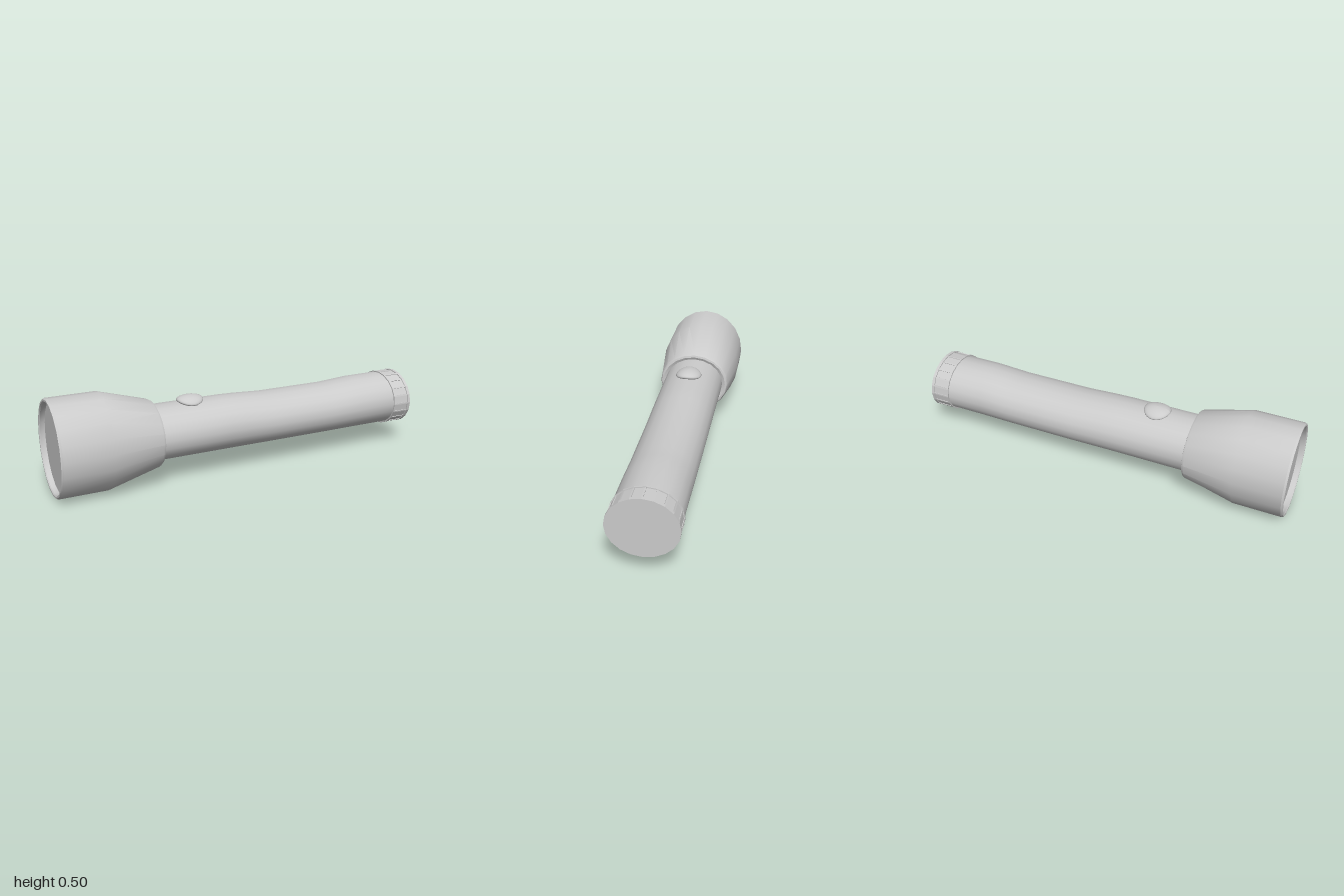
import * as THREE from 'three';
import { toCreasedNormals } from 'three/addons/utils/BufferGeometryUtils.js';

const SIDES = 20;
const AXIS_Y = 0.253;

// Skin a row of elliptical sections along x; each is [x, ry, rz, centreY].
function loft(sections, crease = 0.45) {
  const pos = [];
  const point = ([x, ry, rz, cy = AXIS_Y], j) => {
    const t = (j / SIDES) * Math.PI * 2;
    return [x, cy + ry * Math.cos(t), rz * Math.sin(t)];
  };
  for (let i = 0; i < sections.length - 1; i++) {
    const s = sections[i], e = sections[i + 1];
    for (let j = 0; j < SIDES; j++) {
      const a = point(s, j), b = point(s, j + 1), c = point(e, j), d = point(e, j + 1);
      if (s[1] > 0) pos.push(...a, ...b, ...c);
      if (e[1] > 0) pos.push(...b, ...d, ...c);
    }
  }
  const g = new THREE.BufferGeometry();
  g.setAttribute('position', new THREE.Float32BufferAttribute(pos, 3));
  return toCreasedNormals(g, crease);
}

export function createModel() {
  const model = new THREE.Group();
  model.name = 'flashlight';
  const grey = new THREE.MeshStandardMaterial({ color: 0xcccccc });
  const add = (name, geometry, parent = model) => {
    const mesh = new THREE.Mesh(geometry, grey);
    mesh.name = name;
    parent.add(mesh);
    return mesh;
  };

  // Lamp head: raised rim, straight barrel, taper and rounded rear lip
  add('head', loft([
    [-0.97, 0.231, 0.205], [-0.995, 0.231, 0.205], [-1, 0.236, 0.209],
    [-1, 0.245, 0.218], [-0.99, 0.25, 0.223], [-0.74, 0.25, 0.223],
    [-0.485, 0.174, 0.195], [-0.475, 0.168, 0.19], [-0.472, 0.157, 0.18],
    [-0.48, 0.14, 0.16],
  ]));

  // Flat lens set back inside the rim
  add('lens', loft([[-0.97, 0, 0], [-0.97, 0.231, 0.205]]));

  // Handle with a shallow thumb hollow along its top
  const BOTTOM = 0.112;
  const tops = [[-0.5, 0.396], [-0.1, 0.396], [0, 0.393], [0.15, 0.384],
    [0.52, 0.384], [0.6, 0.389], [0.7, 0.396], [0.92, 0.396]];
  add('handle', loft(tops.map(([x, top]) =>
    [x, (top - BOTTOM) / 2, 0.163, (top + BOTTOM) / 2])));

  // Domed switch, bent to follow the curve of the handle
  const dome = new THREE.SphereGeometry(1, 24, 14);
  dome.scale(0.07, 0.023, 0.07);
  const p = dome.attributes.position;
  for (let i = 0; i < p.count; i++) {
    const drop = 0.143 * (1 - Math.sqrt(1 - (p.getZ(i) / 0.163) ** 2));
    p.setY(i, p.getY(i) - drop);
  }
  dome.computeVertexNormals();
  add('switch', dome).position.set(-0.27, 0.405, 0);

  // Tail cap: faceted grip between two thin flanges, closed by a flat end
  const cap = new THREE.Group();
  cap.name = 'tailCap';
  model.add(cap);
  add('capBody', loft([
    [0.895, 0.138, 0.158], [0.895, 0.149, 0.17], [0.904, 0.149, 0.17],
    [0.904, 0.144, 0.165], [0.984, 0.144, 0.165], [0.984, 0.149, 0.17],
    [1, 0.149, 0.17], [1, 0, 0],
  ], 0.2), cap);

  // Fine grip ribs along the facet edges
  for (let i = 0; i < SIDES; i++) {
    const t = (i / SIDES) * Math.PI * 2;
    const rib = add('gripRib', new THREE.BoxGeometry(0.082, 0.006, 0.008), cap);
    rib.position.set(0.944, AXIS_Y + 0.144 * Math.cos(t), 0.165 * Math.sin(t));
    rib.rotation.x = t;
  }
  return model;
}
